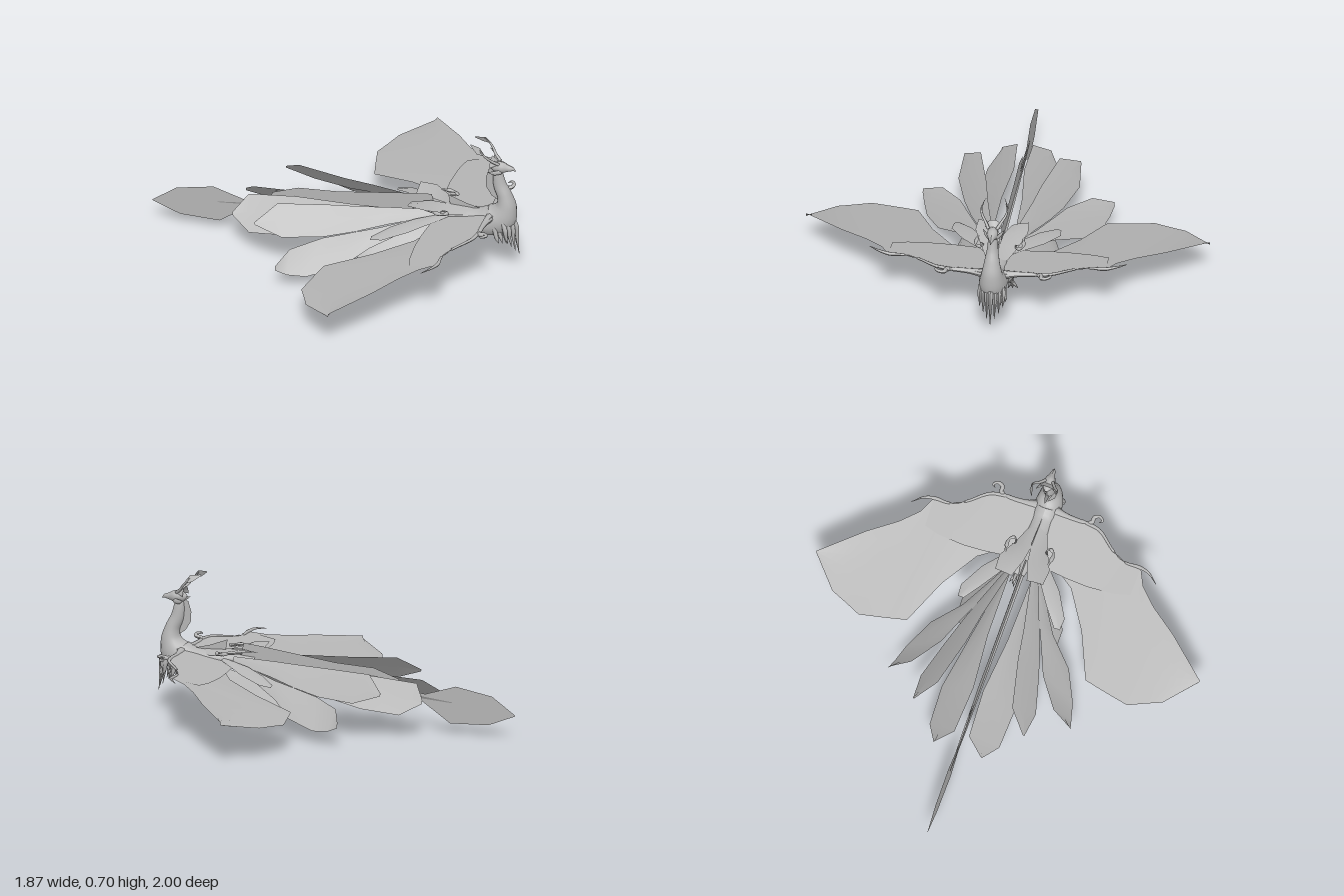
import * as THREE from 'three';

const V = (p) => new THREE.Vector3(p[0], p[1], p[2]);

function gridGeometry(rows, index) {
  const g = new THREE.BufferGeometry();
  g.setAttribute('position', new THREE.Float32BufferAttribute(rows.flat(2), 3));
  g.setIndex(index);
  g.computeVertexNormals();
  return g;
}

// Thin surface through rows of points, all rows equally long
function sheet(rows) {
  const n = rows[0].length, index = [];
  for (let i = 0; i < rows.length - 1; i++) {
    for (let j = 0; j < n - 1; j++) {
      const a = i * n + j, c = a + n;
      index.push(a, c, a + 1, a + 1, c, c + 1);
    }
  }
  return gridGeometry(rows, index);
}

// Feather between two edges, with a slightly raised middle
function feather(edgeA, edgeB, lift = 0.006) {
  return sheet(edgeA.map((a, i) => {
    const b = edgeB[i];
    const m = a.map((v, k) => (v + b[k]) / 2);
    m[1] += lift;
    return [a, m, b];
  }));
}

// Smooth limb through [x, y, z, radius, side radius] points
function limb(pts, { ref = [0, 0, 1], steps = 5, sides = 12 } = {}) {
  const path = new THREE.CatmullRomCurve3(pts.map(V));
  const size = new THREE.CatmullRomCurve3(pts.map((p) => new THREE.Vector3(p[3], p[4] ?? p[3], 0)));
  const n = (pts.length - 1) * steps, rows = [], index = [];
  for (let i = 0; i <= n; i++) {
    const c = path.getPoint(i / n), r = size.getPoint(i / n), t = path.getTangent(i / n);
    const side = V(ref).addScaledVector(t, -V(ref).dot(t)).normalize();
    const up = side.clone().cross(t);
    const row = [];
    for (let j = 0; j <= sides; j++) {
      const a = (j % sides) / sides * Math.PI * 2;
      row.push(c.clone().addScaledVector(up, Math.cos(a) * r.x)
        .addScaledVector(side, Math.sin(a) * r.y).toArray());
    }
    rows.push(row);
  }
  const w = sides + 1;
  for (let i = 0; i < n; i++) {
    for (let j = 0; j < sides; j++) {
      const a = i * w + j, c = a + w;
      index.push(a, a + 1, c, a + 1, c + 1, c);
    }
  }
  return gridGeometry(rows, index);
}

export function createModel() {
  const model = new THREE.Group();
  const plumage = new THREE.MeshStandardMaterial({ color: 0xb6b6b6, side: THREE.DoubleSide });
  plumage.name = 'plumageGrey';

  const left = new THREE.Group(), right = new THREE.Group();
  left.name = 'nearSide';
  right.name = 'farSide';
  right.scale.z = -1;
  model.add(left, right);

  const add = (name, geometry, parent = model) => {
    const mesh = new THREE.Mesh(geometry, plumage);
    mesh.name = name;
    parent.add(mesh);
  };
  const pair = (name, geometry) => [left, right].forEach((side) => add(name, geometry, side));

  // Body and neck
  add('bodyAndNeck', limb([
    [0.42, 0.285, 0, 0.012, 0.015], [0.54, 0.28, 0, 0.026, 0.036], [0.65, 0.272, 0, 0.045, 0.054],
    [0.75, 0.258, 0, 0.072, 0.07], [0.825, 0.285, 0, 0.082, 0.068], [0.858, 0.35, 0, 0.055, 0.053],
    [0.853, 0.41, 0, 0.038, 0.04], [0.828, 0.47, 0, 0.033, 0.029], [0.818, 0.53, 0, 0.026, 0.023],
    [0.82, 0.575, 0, 0.015, 0.015],
  ], { sides: 18 }));

  // Head with hooked beak
  add('head', limb([
    [0.775, 0.575, 0, 0.004], [0.8, 0.573, 0, 0.026, 0.024], [0.835, 0.572, 0, 0.03, 0.028],
    [0.868, 0.57, 0, 0.018, 0.016], [0.893, 0.568, 0, 0.01, 0.008], [0.908, 0.558, 0, 0.001],
  ]));
  add('headCrest', sheet([0, 1, 2, 3, 4, 5, 6].map((i) => {
    const a = (i / 6) * Math.PI;
    return [[0.82, 0.59, Math.cos(a) * 0.02],
      [0.785, 0.58 + Math.sin(a) * 0.045, Math.cos(a) * 0.042]];
  })));
  add('neckMane', feather(
    [[0.8, 0.575, 0], [0.77, 0.55, 0], [0.755, 0.5, 0], [0.757, 0.45, 0], [0.785, 0.405, 0], [0.83, 0.375, 0]],
    [[0.82, 0.57, 0], [0.815, 0.55, 0], [0.81, 0.5, 0], [0.82, 0.45, 0], [0.84, 0.405, 0], [0.85, 0.375, 0]], 0));

  // Cheek tufts and curled horns
  pair('cheekTuft', limb([[0.84, 0.555, 0.018, 0.012, 0.005], [0.81, 0.553, 0.035, 0.012, 0.006],
    [0.78, 0.562, 0.052, 0.001]]));
  pair('horn', limb([[0.825, 0.595, 0.02, 0.008], [0.795, 0.62, 0.04, 0.007],
    [0.775, 0.645, 0.058, 0.006], [0.755, 0.668, 0.064, 0.004], [0.735, 0.69, 0.055, 0.002]], { sides: 8 }));
  pair('hornBlade', feather([[0.765, 0.665, 0.063], [0.74, 0.697, 0.056], [0.69, 0.7, 0.04]],
    [[0.758, 0.66, 0.067], [0.727, 0.665, 0.066], [0.688, 0.695, 0.042]], 0));

  // Hanging breast feathers
  for (let i = -3; i <= 3; i++) {
    const z = i * 0.019, drop = 0.095 + Math.abs(i) * 0.027, x = 0.905 - Math.abs(i) * 0.014;
    add('breastFeather', limb([[x - 0.02, 0.32, z * 0.8, 0.004, 0.008], [x + 0.005, 0.25, z, 0.013, 0.014],
      [x + 0.01, 0.18 + Math.abs(i) * 0.01, z, 0.008], [x + 0.02, drop, z, 0.001]], { sides: 6 }));
    if (i) {
      add('bellyFeather', limb([[x - 0.05, 0.26, z, 0.014], [x - 0.035, 0.2, z * 1.1, 0.01],
        [x - 0.025, 0.145 + Math.abs(i) * 0.01, z * 1.1, 0.001]], { sides: 6 }));
    }
  }

  // Legs, toes and spurs
  pair('leg', limb([[0.76, 0.25, 0.035, 0.03, 0.02], [0.69, 0.23, 0.05, 0.036, 0.028],
    [0.62, 0.185, 0.058, 0.024, 0.021], [0.565, 0.137, 0.056, 0.015], [0.53, 0.1, 0.054, 0.011],
    [0.495, 0.07, 0.052, 0.013], [0.485, 0.06, 0.052, 0.002]]));
  [[0.45, 0.0, 0.052], [0.465, 0.012, 0.078], [0.468, 0.01, 0.03], [0.433, 0.085, 0.052]].forEach((tip) => {
    const mid = [(0.495 + tip[0]) / 2 + 0.004, (0.07 + tip[1]) / 2 + 0.004, (0.052 + tip[2]) / 2];
    pair('toe', limb([[0.5, 0.072, 0.052, 0.009], [...mid, 0.008], [...tip, 0.001]], { sides: 6 }));
  });
  pair('legSpur', limb([[0.57, 0.14, 0.056, 0.01], [0.54, 0.145, 0.06, 0.006], [0.51, 0.135, 0.062, 0.001]], { sides: 6 }));

  // Wings: leading x, z and trailing x, z from shoulder to tip
  const stations = [
    [0.82, 0.03, 0.56, 0.03], [0.785, 0.12, 0.53, 0.14], [0.785, 0.22, 0.46, 0.245], [0.77, 0.285, 0.28, 0.365],
    [0.69, 0.385, 0.06, 0.465], [0.655, 0.46, 0.045, 0.53], [0.655, 0.54, 0.03, 0.6], [0.575, 0.58, 0.01, 0.7],
    [0.495, 0.665, 0.045, 0.78], [0.4, 0.8, 0.077, 0.86], [0.23, 1.0, 0.229, 0.999],
  ];
  const across = ([lx, lz, tx, tz], lift) => [0, 1, 2, 3, 4, 5].map((k) => {
    const t = k / 5, x = lx + (tx - lx) * t;
    return [x, 0.14 + 0.205 * x + 0.016 * (1 - t) + lift * t, lz + (tz - lz) * t];
  });
  pair('wing', sheet(stations.map((s) => across(s, 0))));
  const covertEdge = [[0.5, 0.04], [0.5, 0.13], [0.49, 0.22], [0.485, 0.32], [0.49, 0.4], [0.495, 0.46], [0.515, 0.535]];
  pair('wingCoverts', sheet(covertEdge.map((e, i) => across([stations[i][0], stations[i][1], ...e], 0.018))));
  pair('wingArm', limb([[0.79, 0.305, 0.04, 0.024], [0.78, 0.308, 0.12, 0.014], [0.78, 0.311, 0.2, 0.011],
    [0.79, 0.314, 0.235, 0.011], [0.818, 0.32, 0.24, 0.01], [0.827, 0.326, 0.265, 0.008],
    [0.81, 0.328, 0.284, 0.006], [0.795, 0.326, 0.27, 0.001]], { ref: [0, 1, 0], sides: 8 }));
  pair('wingFrontEdge', limb([[0.78, 0.312, 0.21, 0.01], [0.765, 0.312, 0.285, 0.008], [0.69, 0.298, 0.385, 0.006],
    [0.657, 0.291, 0.46, 0.006], [0.657, 0.291, 0.53, 0.009], [0.642, 0.296, 0.585, 0.006],
    [0.6, 0.29, 0.638, 0.001]], { ref: [0, 1, 0], sides: 8 }));

  // Scroll and cover feathers on the back
  pair('backScroll', limb([[0.45, 0.335, 0.1, 0.003], [0.52, 0.33, 0.115, 0.005], [0.57, 0.325, 0.115, 0.005],
    [0.585, 0.325, 0.09, 0.005], [0.56, 0.325, 0.08, 0.003], [0.55, 0.325, 0.095, 0.001]], { ref: [0, 1, 0], sides: 6 }));
  pair('saddleFeather', feather([[0.68, 0.32, 0.0], [0.56, 0.325, 0.0], [0.48, 0.335, 0.01], [0.39, 0.33, 0.04]],
    [[0.66, 0.3, 0.05], [0.56, 0.31, 0.09], [0.47, 0.345, 0.13], [0.39, 0.352, 0.125]], 0.004));
  add('backPlume', feather([[0.74, 0.32, 0], [0.66, 0.34, 0], [0.565, 0.375, 0]],
    [[0.72, 0.29, 0], [0.64, 0.29, 0], [0.575, 0.315, 0]], 0));
  pair('shoulderFeather', feather([[0.58, 0.28, 0.05], [0.42, 0.25, 0.2], [0.3, 0.225, 0.27], [0.24, 0.215, 0.265]],
    [[0.56, 0.285, 0.03], [0.42, 0.27, 0.1], [0.32, 0.25, 0.17], [0.24, 0.22, 0.235]]));
  pair('underTailFeather', feather([[0.62, 0.23, 0.06], [0.43, 0.14, 0.17], [0.3, 0.06, 0.26], [0.21, 0.045, 0.26]],
    [[0.6, 0.25, 0.03], [0.4, 0.22, 0.1], [0.22, 0.16, 0.19], [0.13, 0.115, 0.21]]));

  // Fanned tail feathers, outer edge then inner edge
  pair('outerTailFeather', feather(
    [[0.5, 0.26, 0.06], [0.23, 0.15, 0.235], [0.11, 0.09, 0.36], [-0.04, 0.058, 0.435], [-0.13, 0.068, 0.46], [-0.185, 0.093, 0.475]],
    [[0.5, 0.275, 0.04], [0.26, 0.225, 0.15], [0.14, 0.21, 0.205], [0, 0.19, 0.265], [-0.14, 0.162, 0.37], [-0.187, 0.115, 0.472]]));
  pair('middleTailFeather', feather(
    [[0.52, 0.275, 0.05], [0.29, 0.24, 0.14], [0.15, 0.21, 0.195], [0, 0.185, 0.245], [-0.2, 0.18, 0.3], [-0.34, 0.225, 0.29]],
    [[0.52, 0.3, 0.03], [0.29, 0.305, 0.08], [0.15, 0.305, 0.11], [0, 0.305, 0.135], [-0.25, 0.308, 0.195], [-0.345, 0.235, 0.285]]));
  pair('innerTailFeather', feather(
    [[0.52, 0.275, 0.04], [0.4, 0.25, 0.08], [0.08, 0.18, 0.14], [-0.2, 0.13, 0.19], [-0.4, 0.112, 0.182], [-0.5, 0.165, 0.125]],
    [[0.52, 0.3, 0.02], [0.4, 0.29, 0.055], [0.08, 0.275, 0.05], [-0.2, 0.26, 0.025], [-0.44, 0.245, 0.038], [-0.5, 0.18, 0.12]]));

  // Upright centre tail blades
  add('tailRidge', feather(
    [[0.48, 0.365, 0], [0.38, 0.355, 0], [0, 0.305, 0], [-0.2, 0.295, 0], [-0.33, 0.25, 0]],
    [[0.5, 0.29, 0], [0.38, 0.27, 0], [0, 0.22, 0], [-0.2, 0.2, 0], [-0.34, 0.22, 0]], 0));
  add('longTailFeather', feather(
    [[0.5, 0.29, 0], [-0.47, 0.185, 0], [-0.63, 0.235, 0], [-0.82, 0.2, 0], [-0.94, 0.115, 0]],
    [[0.5, 0.27, 0], [-0.45, 0.15, 0], [-0.6, 0.048, 0], [-0.8, 0.055, 0], [-0.94, 0.11, 0]], 0));
  pair('tailStreamer', feather([[0.5, 0.285, 0.012], [0, 0.225, 0.01], [-0.4, 0.18, 0.008], [-0.61, 0.155, 0.002]],
    [[0.5, 0.285, 0], [0, 0.22, 0], [-0.4, 0.165, 0], [-0.61, 0.15, 0]], 0));

  return model;
}
